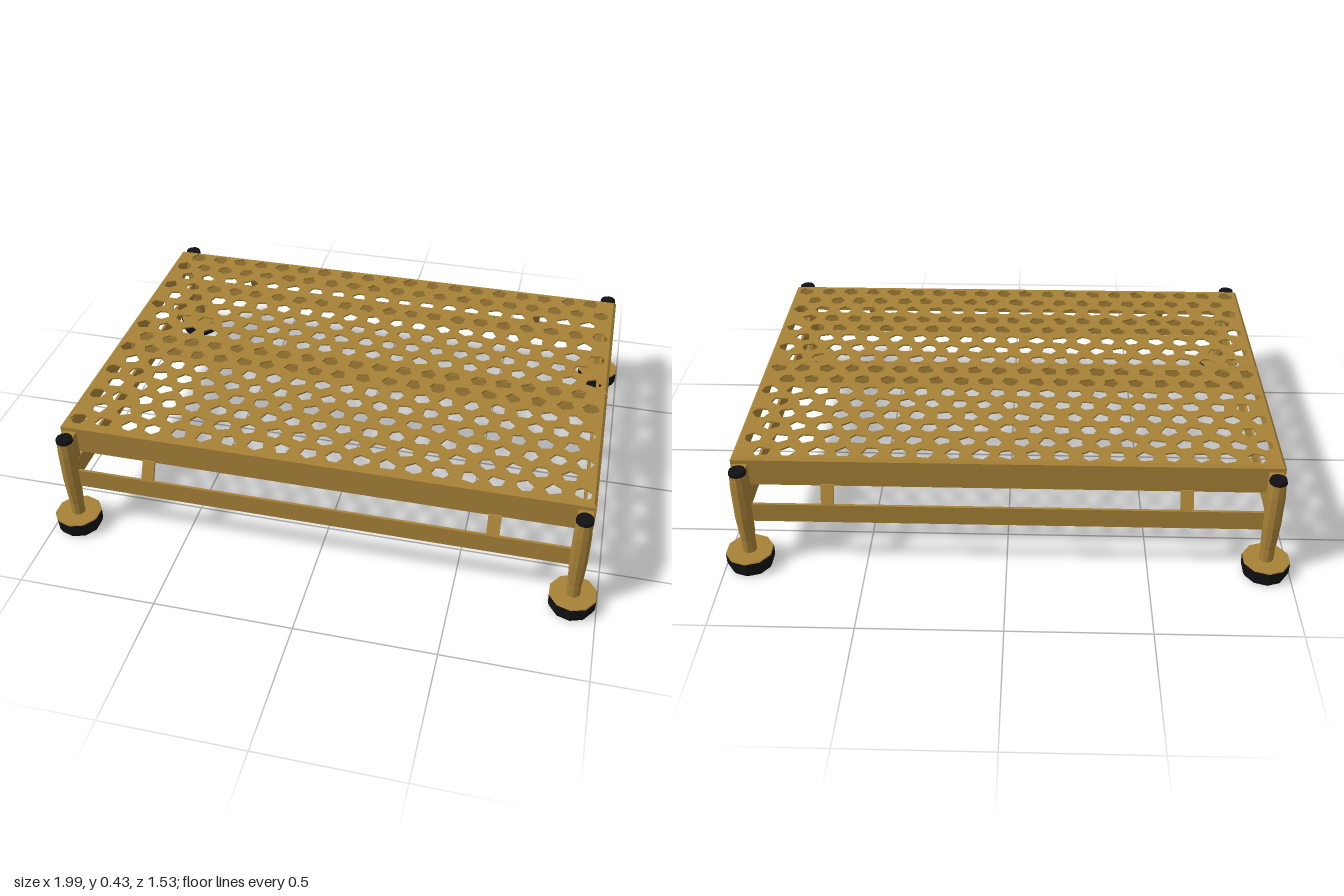
import * as THREE from 'three';

export function createModel() {
  const model = new THREE.Group();
  model.name = 'platform';
  const bronze = new THREE.MeshStandardMaterial({ color: 0xa88237, side: THREE.DoubleSide, flatShading: true });
  bronze.name = 'bronze';
  const black = new THREE.MeshStandardMaterial({ color: 0x111113, flatShading: true });
  black.name = 'black rubber';

  let seed = 7;
  const rand = () => (seed = (seed * 16807) % 2147483647) / 2147483647;

  function add(parent, name, geo, mat, x = 0, y = 0, z = 0) {
    const mesh = new THREE.Mesh(geo, mat);
    mesh.name = name;
    mesh.position.set(x, y, z);
    parent.add(mesh);
    return mesh;
  }
  // Box given by its limits on each axis
  function block(parent, name, x0, x1, y0, y1, z0, z1) {
    return add(parent, name, new THREE.BoxGeometry(x1 - x0, y1 - y0, z1 - z0), bronze,
      (x0 + x1) / 2, (y0 + y1) / 2, (z0 + z1) / 2);
  }

  const X = 0.947, T = 0.008, IN = 0.01, TOP = 0.43, SHOULDER = 0.42, BOTTOM = 0.328;

  // Chamfered rim between the deck sheet and the skirts
  function rimGeometry(z0, z1) {
    const corners = (i) => [[-X + i, z0 + i], [X - i, z0 + i], [X - i, z1 - i], [-X + i, z1 - i]];
    const pos = [], index = [];
    corners(0).forEach(([x, z]) => pos.push(x, SHOULDER, z));
    corners(IN).forEach(([x, z]) => pos.push(x, TOP, z));
    for (let a = 0; a < 4; a++) {
      const b = (a + 1) % 4;
      index.push(a, a + 4, b, b, a + 4, b + 4);
    }
    const geo = new THREE.BufferGeometry();
    geo.setAttribute('position', new THREE.Float32BufferAttribute(pos, 3));
    geo.setIndex(index);
    const flat = geo.toNonIndexed();
    flat.computeVertexNormals();
    return flat;
  }

  // Perforated sheet: staggered rows of rough five and six sided holes
  function sheetGeometry(z0, z1, firstRow) {
    const shape = new THREE.Shape();
    const l = X - IN, a = -(z1 - IN), b = -(z0 + IN);
    shape.moveTo(-l, a).lineTo(l, a).lineTo(l, b).lineTo(-l, b).closePath();
    for (let row = 0; row < 8; row++) {
      const z = firstRow + row * 0.078;
      const odd = row % 2;
      const count = odd ? 20 : 19;
      for (let i = 0; i < count; i++) {
        const cx = (odd ? -0.895 : -0.85) + i * 0.0942 + (rand() - 0.5) * 0.008;
        const sides = rand() < 0.6 ? 5 : 6;
        const turn = rand() * Math.PI * 2;
        const points = [];
        for (let k = 0; k < sides; k++) {
          const ang = turn - ((k + (rand() - 0.5) * 0.45) / sides) * Math.PI * 2;
          const r = 0.029 + rand() * 0.005;
          points.push(new THREE.Vector2(cx + Math.cos(ang) * r, -z + Math.sin(ang) * r * 0.95));
        }
        shape.holes.push(new THREE.Path(points));
      }
    }
    const geo = new THREE.ExtrudeGeometry(shape, { depth: 0.006, bevelEnabled: false });
    geo.rotateX(-Math.PI / 2);
    return geo;
  }

  // Two deck trays, back and front
  for (const [name, z0, z1, firstRow] of [['back', -0.635, -0.002, -0.59], ['front', 0.002, 0.633, 0.037]]) {
    const tray = new THREE.Group();
    tray.name = name + 'DeckTray';
    model.add(tray);
    add(tray, 'perforatedSheet', sheetGeometry(z0, z1, firstRow), bronze, 0, TOP - 0.006, 0);
    add(tray, 'chamferedRim', rimGeometry(z0, z1), bronze);
    for (const s of [-1, 1]) {
      const x = s * (X - T / 2);
      block(tray, 'endSkirt', x - T / 2, x + T / 2, BOTTOM, SHOULDER, z0, z1);
    }
    const back = name === 'back';
    block(tray, 'longSkirtBack', -X + T, X - T, back ? 0.318 : BOTTOM, SHOULDER, z0, z0 + T);
    block(tray, 'longSkirtFront', -X + T, X - T, back ? BOTTOM : 0.318, SHOULDER, z1 - T, z1);
  }

  // Corner returns that hang just below the end skirts
  for (const sx of [-1, 1]) for (const sz of [-1, 1]) {
    const x = sx * (X - T * 1.5), z = sz * 0.567;
    block(model, 'cornerReturn', x - T / 2, x + T / 2, 0.318, 0.41, z - 0.065, z + 0.065);
  }

  // Lower rails
  for (const s of [-1, 1]) {
    block(model, 'longRail', -0.915, 0.915, 0.19, 0.263, s * 0.672 - 0.005, s * 0.672 + 0.005);
    block(model, 'shortRail', s * 0.915 - 0.005, s * 0.915 + 0.005, 0.19, 0.265, -0.675, 0.675);
  }

  // Sloping straps joining the long rails to the skirts
  for (const sx of [-1, 1]) for (const sz of [-1, 1]) {
    const profile = new THREE.Shape();
    profile.moveTo(0.666, 0.22).lineTo(0.674, 0.22).lineTo(0.674, 0.263)
      .lineTo(0.642, 0.325).lineTo(0.632, 0.325).lineTo(0.666, 0.258).closePath();
    const geo = new THREE.ExtrudeGeometry(profile, { depth: 0.045, bevelEnabled: false });
    geo.translate(0, 0, -0.0225);
    geo.rotateY(sz > 0 ? -Math.PI / 2 : Math.PI / 2);
    add(model, 'strap', geo, bronze, sx * 0.62, 0, 0);
  }

  // Legs with end caps, spindles and rubber feet
  const legProfile = [[0.022, 0.1], [0.027, 0.13], [0.032, 0.22], [0.032, 0.34], [0.028, 0.4]]
    .map(([r, y]) => new THREE.Vector2(r, y));
  const footProfile = [[0, 0], [0.076, 0], [0.084, 0.018], [0.085, 0.058]]
    .map(([r, y]) => new THREE.Vector2(r, y));
  for (const sx of [-1, 1]) for (const sz of [-1, 1]) {
    const leg = new THREE.Group();
    leg.name = 'leg';
    leg.position.set(sx * 0.914, 0, sz * 0.678);
    model.add(leg);
    add(leg, 'legTube', new THREE.LatheGeometry(legProfile, 10), bronze);
    add(leg, 'legCap', new THREE.CylinderGeometry(0.029, 0.031, 0.014, 10), black, 0, 0.403, 0);
    add(leg, 'spindle', new THREE.CylinderGeometry(0.025, 0.025, 0.08, 10), bronze, 0, 0.09, 0);
    add(leg, 'footPad', new THREE.LatheGeometry(footProfile, 10), black);
    add(leg, 'footTop', new THREE.CylinderGeometry(0.083, 0.085, 0.004, 10), bronze, 0, 0.06, 0);
    // Plate fixing the leg to the tray
    block(leg, 'legPlate', -0.025, 0.025, 0.3, 0.405, Math.min(0, -sz * 0.046), Math.max(0, -sz * 0.046));
  }
  return model;
}
